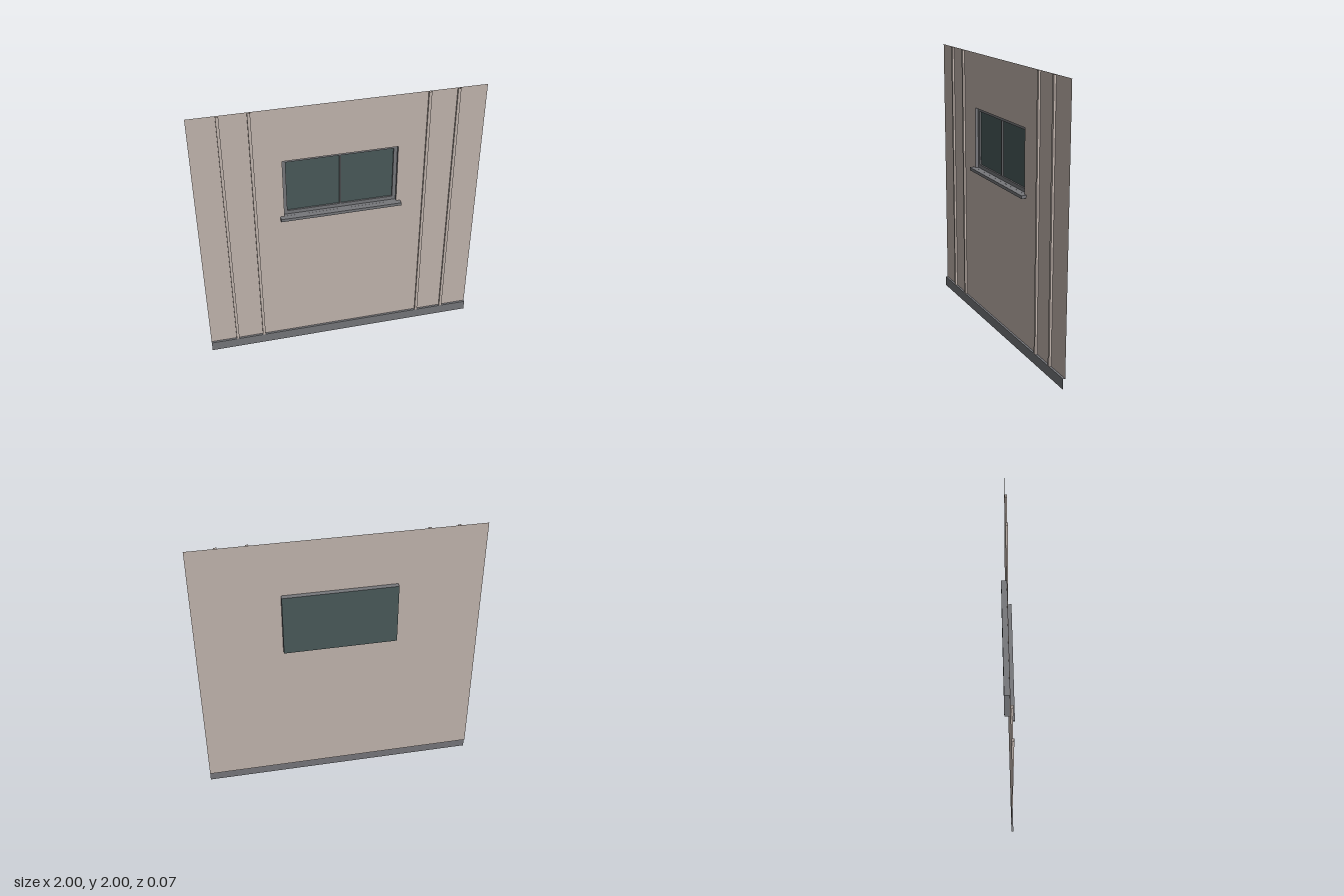
import * as THREE from 'three';

const mat = (name, color, side = THREE.DoubleSide) => {
  const m = new THREE.MeshStandardMaterial({ color, side });
  m.name = name;
  return m;
};

// Main dimensions
const W = 2, H = 2, BASE = 0.075, BASE_Z = 0.015;
const WIN = { x: 0.4, y0: 1.15, y1: 1.6, back: -0.036, frameFront: -0.022 };

// Clockwise rectangular hole
function rectHole(x0, y0, x1, y1) {
  const p = new THREE.Path();
  p.moveTo(x0, y0);
  p.lineTo(x0, y1);
  p.lineTo(x1, y1);
  p.lineTo(x1, y0);
  p.closePath();
  return p;
}

function rectShape(x0, y0, x1, y1) {
  const s = new THREE.Shape();
  s.moveTo(x0, y0);
  s.lineTo(x1, y0);
  s.lineTo(x1, y1);
  s.lineTo(x0, y1);
  s.closePath();
  return s;
}

export function createModel() {
  const wallMat = mat('beige wall', 0xc3b6af);
  const trimMat = mat('grey trim', 0x76777b);
  const glassMat = mat('dark green glass', 0x4a5a5a);

  const model = new THREE.Group();
  model.name = 'wallPanelWithWindow';

  const add = (name, geo, material, x = 0, y = 0, z = 0, parent = model) => {
    const m = new THREE.Mesh(geo, material);
    m.name = name;
    m.position.set(x, y, z);
    parent.add(m);
    return m;
  };

  // Thin wall sheet with the window opening
  const wall = rectShape(-W / 2, BASE, W / 2, H);
  wall.holes.push(rectHole(-WIN.x, WIN.y0, WIN.x, WIN.y1));
  add('wall', new THREE.ShapeGeometry(wall), wallMat);

  // Vertical ribs, mirrored: front face and two side faces each
  for (const x of [-0.8, -0.6, 0.6, 0.8]) {
    const rib = new THREE.Group();
    rib.name = 'rib';
    rib.position.set(x, (BASE + H) / 2, 0);
    model.add(rib);
    add('ribFront', new THREE.PlaneGeometry(0.02, H - BASE), wallMat, 0, 0, BASE_Z, rib);
    for (const s of [-1, 1]) {
      add('ribSide', new THREE.PlaneGeometry(BASE_Z, H - BASE), wallMat,
        s * 0.01, 0, BASE_Z / 2, rib).rotation.y = s * Math.PI / 2;
    }
  }

  // Plinth: a front sheet and the narrow ledge joining it to the wall
  add('plinth', new THREE.PlaneGeometry(W, BASE), trimMat, 0, BASE / 2, BASE_Z);
  add('plinthLedge', new THREE.PlaneGeometry(W, BASE_Z), trimMat, 0, BASE, BASE_Z / 2)
    .rotation.x = -Math.PI / 2;

  // Window recess: four sheets running back from the wall
  const win = new THREE.Group();
  win.name = 'window';
  model.add(win);
  const depth = -WIN.back, midY = (WIN.y0 + WIN.y1) / 2, height = WIN.y1 - WIN.y0;
  for (const s of [-1, 1]) {
    add('revealSide', new THREE.PlaneGeometry(depth, height), trimMat,
      s * WIN.x, midY, -depth / 2, win).rotation.y = s * Math.PI / 2;
    add('revealEdge', new THREE.PlaneGeometry(2 * WIN.x, depth), trimMat,
      0, midY + s * height / 2, -depth / 2, win).rotation.x = -s * Math.PI / 2;
  }

  // Frame with two panes divided by a thin mullion
  const frame = rectShape(-WIN.x, WIN.y0, WIN.x, WIN.y1);
  frame.holes.push(rectHole(-0.375, 1.177, -0.005, 1.575));
  frame.holes.push(rectHole(0.005, 1.177, 0.375, 1.575));
  const frameDepth = WIN.frameFront - WIN.back - 0.002;
  add('windowFrame', new THREE.ExtrudeGeometry(frame, { depth: frameDepth, bevelEnabled: false }),
    trimMat, 0, 0, WIN.back + 0.002, win);

  // Glass closes the back of the recess
  add('glass', new THREE.PlaneGeometry(2 * WIN.x, height), glassMat, 0, midY, WIN.back, win);

  // Projecting sill
  add('sill', new THREE.BoxGeometry(0.86, 0.022, 0.035), trimMat, 0, 1.139, 0.0181, win);

  return model;
}
